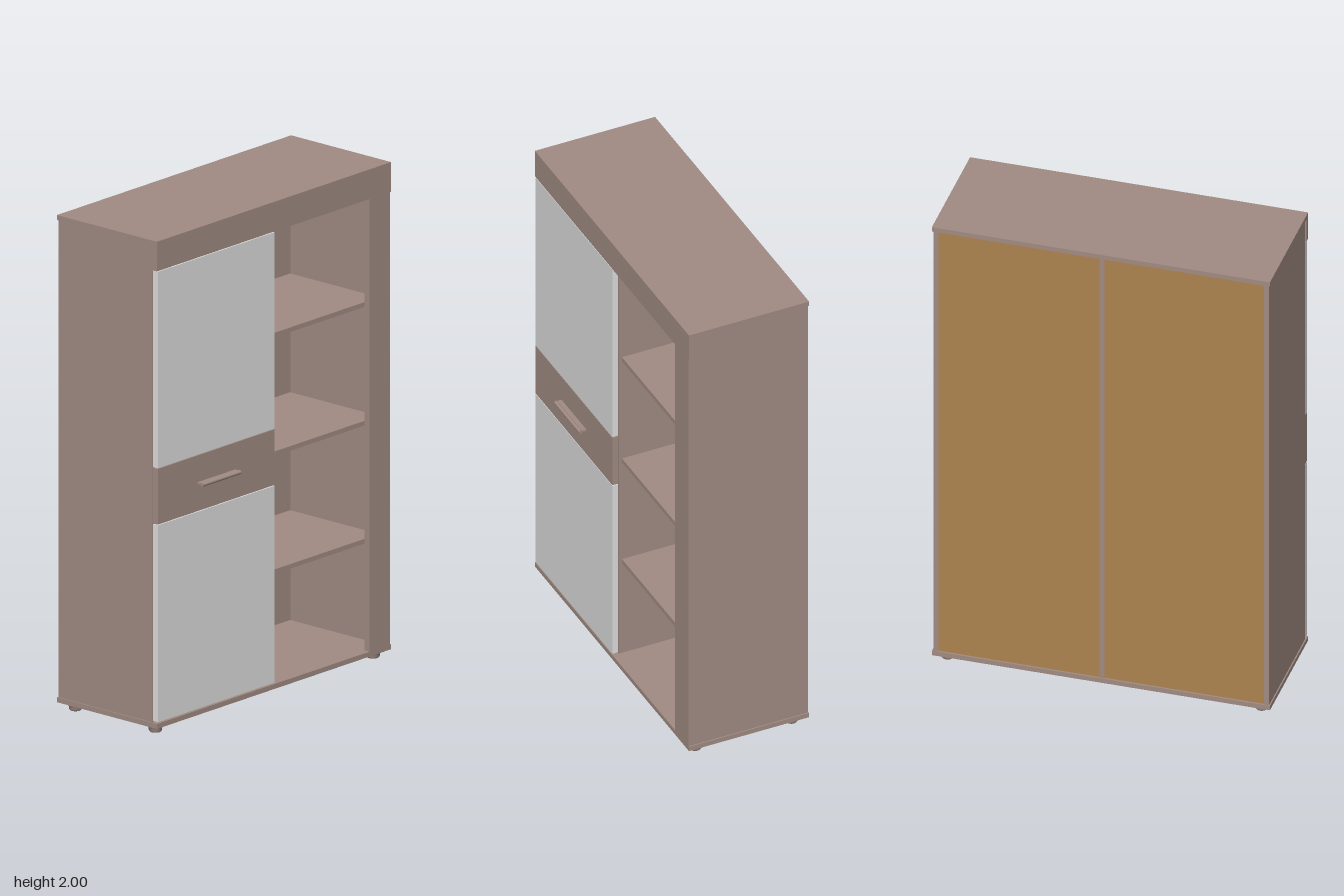
import * as THREE from 'three';

const wood = new THREE.MeshStandardMaterial({ color: 0xa18c83 });
wood.name = 'brownWood';
const white = new THREE.MeshStandardMaterial({ color: 0xdedede });
white.name = 'whiteLacquer';
const board = new THREE.MeshStandardMaterial({ color: 0xad8250 });
board.name = 'tanBackBoard';

export function createModel() {
  const model = new THREE.Group();

  // Box given by its min and max on each axis
  function box(name, mat, [x0, x1], [y0, y1], [z0, z1]) {
    const mesh = new THREE.Mesh(new THREE.BoxGeometry(x1 - x0, y1 - y0, z1 - z0), mat);
    mesh.position.set((x0 + x1) / 2, (y0 + y1) / 2, (z0 + z1) / 2);
    mesh.name = name;
    model.add(mesh);
    return mesh;
  }

  // Carcass
  box('base', wood, [-0.68, 0.68], [0.03, 0.05], [-0.275, 0.24]);
  box('top', wood, [-0.68, 0.68], [1.98, 2], [-0.275, 0.235]);
  box('topFascia', wood, [-0.68, 0.68], [1.88, 2], [0.215, 0.24]);
  box('leftSide', wood, [0.655, 0.675], [0.05, 1.98], [-0.272, 0.213]);
  box('rightSide', wood, [-0.675, -0.655], [0.05, 1.98], [-0.272, 0.213]);
  box('divider', wood, [-0.013, 0.006], [0.05, 1.98], [-0.272, 0.213]);
  box('frontPost', wood, [0.555, 0.675], [0.05, 1.88], [0.213, 0.24]);

  // Back boards: brown inside, tan outside, on both sides of the divider
  for (const [x0, x1] of [[-0.655, -0.013], [0.006, 0.655]]) {
    box('backInner', wood, [x0, x1], [0.05, 1.98], [-0.262, -0.257]);
    box('backOuter', board, [x0, x1], [0.05, 1.98], [-0.267, -0.262]);
  }

  // Shelves with their support pins
  for (const y of [0.475, 0.952, 1.432]) {
    box('openShelf', wood, [0.006, 0.655], [y, y + 0.019], [-0.257, 0.2]);
    box('hiddenShelf', wood, [-0.655, -0.013], [y, y + 0.019], [-0.257, 0.2]);
    for (const z of [-0.2, 0.15]) {
      const pin = new THREE.Mesh(new THREE.CylinderGeometry(0.006, 0.006, 0.014, 12), wood);
      pin.name = 'shelfPin';
      pin.rotation.z = Math.PI / 2;
      pin.position.set(0.013, y - 0.006, z);
      model.add(pin);
    }
  }

  // Doors and the drawer between them
  box('lowerDoor', white, [-0.675, 0.004], [0.056, 0.852], [0.216, 0.24]);
  box('upperDoor', white, [-0.675, 0.004], [1.083, 1.877], [0.216, 0.24]);
  box('drawerFront', wood, [-0.675, 0.004], [0.855, 1.08], [0.216, 0.24]);

  // Handle: a thin ledge with a rounded lip
  box('handleLedge', wood, [-0.445, -0.225], [0.964, 0.972], [0.238, 0.264]);
  const lip = new THREE.Mesh(new THREE.CylinderGeometry(0.008, 0.008, 0.22, 16), wood);
  lip.name = 'handleLip';
  lip.rotation.z = Math.PI / 2;
  lip.position.set(-0.335, 0.966, 0.264);
  model.add(lip);

  // Feet: a wide collar over a tapered pad
  const footProfile = [[0, 0], [0.022, 0], [0.026, 0.006], [0.026, 0.018], [0.031, 0.02], [0.031, 0.03]]
    .map(([r, y]) => new THREE.Vector2(r, y));
  for (const x of [-0.632, 0.632]) {
    for (const z of [-0.222, 0.19]) {
      const foot = new THREE.Mesh(new THREE.LatheGeometry(footProfile, 24), wood);
      foot.name = 'foot';
      foot.position.set(x, 0, z);
      model.add(foot);
    }
  }
  return model;
}
